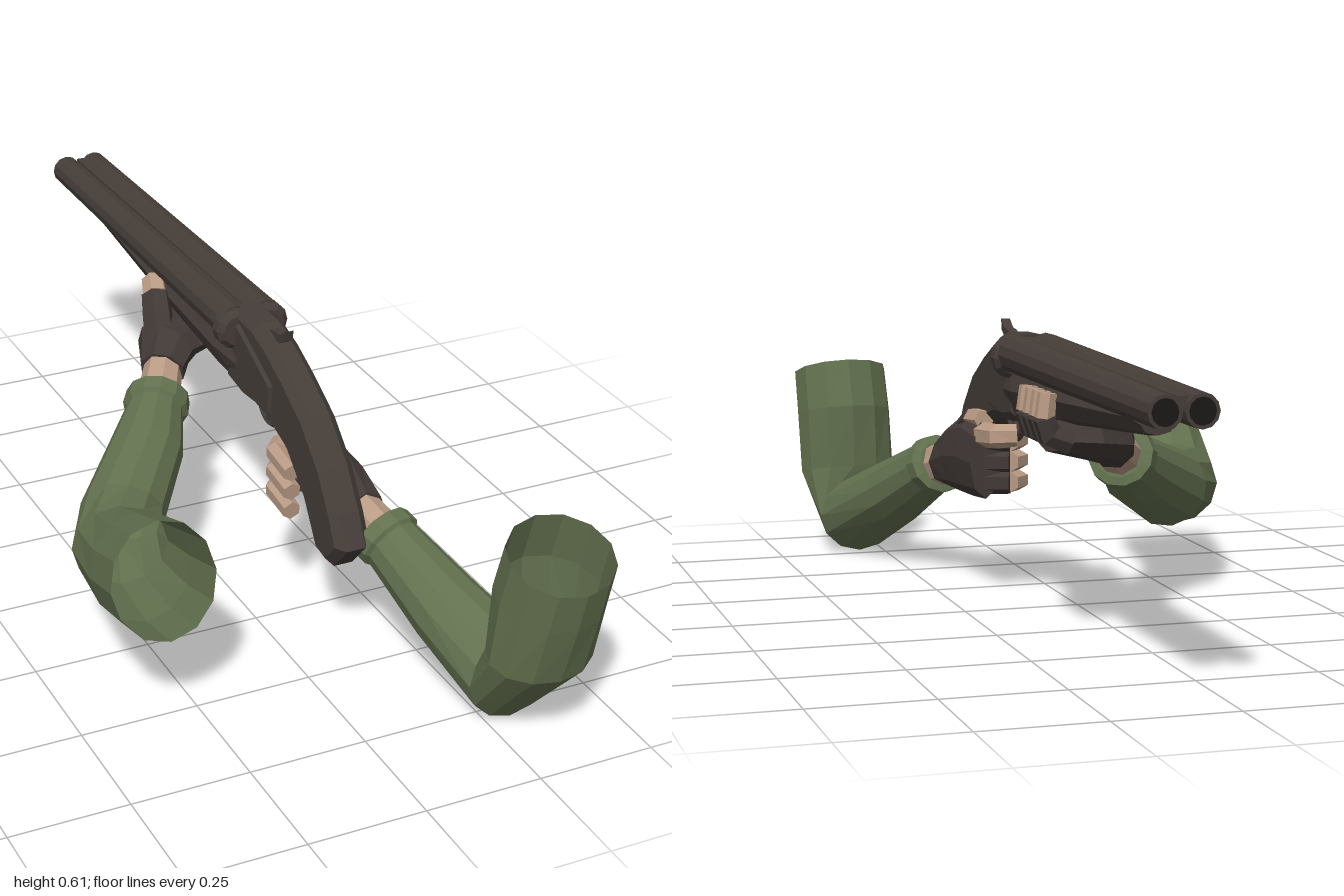
import * as THREE from 'three';

const GX = 0.115; // the gun's centre line
const V = (p) => new THREE.Vector3(...p);

// Faceted skin over rings: [centre, [ru, rv], optional tangent]; u lies near the ref axis
function loft(rings, sides, { ref = [1, 0, 0], start = true, end = true } = {}) {
  const n = rings.length;
  const loops = rings.map(([c, r, t], i) => {
    const dir = t ? V(t) : V(rings[Math.min(i + 1, n - 1)][0]).sub(V(rings[Math.max(i - 1, 0)][0]));
    dir.normalize();
    const u = V(ref).addScaledVector(dir, -V(ref).dot(dir)).normalize();
    const v = dir.clone().cross(u);
    return Array.from({ length: sides }, (_, j) => {
      const a = (j / sides) * Math.PI * 2;
      return V(c).addScaledVector(u, r[0] * Math.cos(a)).addScaledVector(v, r[1] * Math.sin(a));
    });
  });
  const pts = [];
  for (let j = 0; j < sides; j++) {
    const k = (j + 1) % sides;
    for (let i = 0; i < n - 1; i++) {
      const [a, b] = [loops[i], loops[i + 1]];
      pts.push(a[j], a[k], b[k], a[j], b[k], b[j]);
    }
    if (start) pts.push(V(rings[0][0]), loops[0][k], loops[0][j]);
    if (end) pts.push(V(rings[n - 1][0]), loops[n - 1][j], loops[n - 1][k]);
  }
  const g = new THREE.BufferGeometry().setFromPoints(pts);
  g.computeVertexNormals();
  return g;
}

function flat(g) {
  const f = g.index ? g.toNonIndexed() : g;
  f.computeVertexNormals();
  return f;
}

export function createModel() {
  const mat = (name, color, side = THREE.FrontSide) => {
    const m = new THREE.MeshStandardMaterial({ color, side });
    m.name = name;
    return m;
  };
  const gunMat = mat('gun brown', 0x453d38);
  const boreMat = mat('bore black', 0x1c1917);
  const gloveMat = mat('glove brown', 0x413936);
  const skinMat = mat('skin', 0xb99b85);
  const sleeveMat = mat('sleeve green', 0x63714f, THREE.DoubleSide);

  const model = new THREE.Group();
  const group = (name) => {
    const g = new THREE.Group();
    g.name = name;
    model.add(g);
    return g;
  };
  const add = (parent, name, geo, m) => {
    const mesh = new THREE.Mesh(geo, m);
    mesh.name = name;
    parent.add(mesh);
    return mesh;
  };

  // ---- Gun ----
  const gun = group('gun');

  // Side outline (z, y) extruded across x with chamfered edges
  const sidePlate = (name, outline, width, bevel) => {
    const shape = new THREE.Shape(outline.map(([z, y]) => new THREE.Vector2(z, y)));
    const depth = width - 2 * bevel;
    const g = new THREE.ExtrudeGeometry(shape, {
      depth, bevelEnabled: bevel > 0, bevelThickness: bevel, bevelSize: bevel, bevelOffset: -bevel, bevelSegments: 1,
    });
    g.translate(0, 0, -depth / 2).rotateY(-Math.PI / 2).translate(GX, 0, 0);
    return add(gun, name, flat(g), gunMat);
  };
  sidePlate('stock', [
    [-0.04, 0.42], [-0.04, 0.595], [0.06, 0.592], [0.12, 0.575], [0.2, 0.54], [0.3, 0.487], [0.385, 0.41],
    [0.44, 0.33], [0.475, 0.262], [0.42, 0.2], [0.36, 0.21], [0.3, 0.3], [0.22, 0.37], [0.12, 0.4], [0.02, 0.405],
  ], 0.078, 0.018);
  sidePlate('receiver', [
    [-0.06, 0.42], [-0.06, 0.57], [0.0, 0.575], [0.06, 0.55], [0.17, 0.5], [0.16, 0.42], [0.03, 0.408],
  ], 0.092, 0.015);
  sidePlate('topLever', [
    [0.07, 0.58], [0.1, 0.592], [0.13, 0.595], [0.155, 0.612], [0.15, 0.588], [0.12, 0.57], [0.08, 0.565],
  ], 0.02, 0);

  // Twin barrels with hollow muzzles and rounded breech collars
  for (const s of [-1, 1]) {
    const barrel = new THREE.LatheGeometry(
      [[0, 0], [0.041, 0], [0.033, 0.97], [0.026, 0.97]].map((p) => new THREE.Vector2(...p)), 12);
    add(gun, 'barrel', flat(barrel.rotateX(-Math.PI / 2 - 0.009).translate(GX + s * 0.035, 0.556, -0.03)), gunMat);
    const bore = new THREE.CircleGeometry(0.027, 12).rotateY(Math.PI);
    add(gun, 'bore', bore.translate(GX + s * 0.035, 0.547, -0.998), boreMat);
    const collar = new THREE.LatheGeometry(
      [[0, 0], [0.034, 0], [0.046, 0.012], [0.046, 0.035], [0.036, 0.05]].map((p) => new THREE.Vector2(...p)), 12);
    add(gun, 'breechCollar', flat(collar.rotateX(-Math.PI / 2).translate(GX + s * 0.037, 0.548, -0.01)), gunMat);
  }
  add(gun, 'barrelRib', flat(new THREE.BoxGeometry(0.022, 0.02, 0.95).rotateX(-0.016).translate(GX, 0.572, -0.515)), gunMat);

  // Tapering fore-end under the barrels: [z, bottom, top, half width]
  add(gun, 'foreEnd', loft([
    [0, 0.405, 0.55, 0.05], [-0.1, 0.418, 0.55, 0.062], [-0.43, 0.45, 0.55, 0.058],
    [-0.8, 0.48, 0.55, 0.04], [-0.86, 0.487, 0.53, 0.034],
  ].map(([z, lo, hi, w]) => [[GX, (lo + hi) / 2, z], [w, (hi - lo) / 2], [0, 0, -1]]), 8), gunMat);

  // Trigger and guard
  const guard = new THREE.TorusGeometry(0.048, 0.007, 5, 10, Math.PI).rotateZ(Math.PI).rotateY(Math.PI / 2);
  add(gun, 'triggerGuard', flat(guard.translate(GX, 0.408, 0.07)), gunMat);
  add(gun, 'trigger', flat(new THREE.BoxGeometry(0.012, 0.045, 0.012).rotateX(0.3).translate(GX, 0.39, 0.075)), gunMat);

  // ---- Arms ----
  // Finger of one glove piece and one bare tip along a bent path, split at a point index
  const finger = (parent, name, path, r, split, ref) => {
    const rings = path.map((p, i) => [p, [r * (1 - 0.06 * i), r * (1 - 0.06 * i)]]);
    if (split > 0) add(parent, name + 'Glove', loft(rings.slice(0, split + 1).map(([p, q]) => [p, [q[0] * 1.12, q[1] * 1.12]]), 6, { ref }), gloveMat);
    add(parent, name + 'Tip', loft(rings.slice(split), 6, { ref }), skinMat);
  };

  // Trigger arm
  const armA = group('triggerArm');
  add(armA, 'sleeve', loft([
    [[0.197, 0.262, 0.42], [0.05, 0.05], [0.25, -0.4, 0.9]],
    [[0.197, 0.26, 0.425], [0.07, 0.068], [0.25, -0.4, 0.9]],
    [[0.205, 0.25, 0.455], [0.07, 0.068], [0.25, -0.4, 0.9]],
    [[0.207, 0.246, 0.46], [0.062, 0.063], [0.25, -0.4, 0.9]],
    [[0.25, 0.17, 0.62], [0.08, 0.077], [0.2, -0.35, 0.9]],
    [[0.305, 0.092, 0.785], [0.095, 0.09], [0, 0.05, 1]],
    [[0.318, 0.19, 0.858], [0.112, 0.085], [0, 1, 0.25]],
    [[0.322, 0.33, 0.875], [0.112, 0.108], [0, 1, 0.25]],
    [[0.325, 0.428, 0.9], [0.11, 0.106], [0, 1, 0.36]],
  ], 12, { end: false }), sleeveMat);
  add(armA, 'wrist', loft([
    [[0.2, 0.255, 0.44], [0.045, 0.05]], [[0.187, 0.275, 0.36], [0.04, 0.05]],
  ], 8), skinMat);
  add(armA, 'glove', loft([
    [[0.189, 0.272, 0.375], [0.046, 0.056], [0, 0, -1]], [[0.182, 0.295, 0.31], [0.042, 0.08], [0, 0, -1]],
    [[0.172, 0.305, 0.22], [0.042, 0.09], [0, 0, -1]], [[0.165, 0.3, 0.14], [0.036, 0.08], [0, 0, -1]],
  ], 8), gloveMat);
  [0.255, 0.3, 0.345].forEach((y, i) => finger(armA, 'finger' + i, [
    [0.165, y, 0.165], [0.11, y, 0.14], [0.082, y, 0.165], [0.08, y - 0.01, 0.25],
  ], 0.025, 1, [0, 1, 0]));
  finger(armA, 'indexFinger', [[0.165, 0.36, 0.15], [0.16, 0.368, 0.06], [0.12, 0.37, 0.05]], 0.028, 0, [0, 1, 0]);
  finger(armA, 'thumb', [[0.17, 0.35, 0.3], [0.165, 0.385, 0.24], [0.16, 0.39, 0.17]], 0.026, 1, [1, 0, 0]);

  // Supporting arm
  const armB = group('supportArm');
  const fore = [0.5, 0.33, -0.8];
  add(armB, 'sleeve', loft([
    [[-0.325, 0.32, 0.513], [0.112, 0.123], [0, -0.28, -0.96]],
    [[-0.31, 0.265, 0.36], [0.108, 0.115], [0.05, -0.25, -0.96]],
    [[-0.288, 0.225, 0.2], [0.1, 0.092], [0.25, 0, -0.96]],
    [[-0.235, 0.235, 0.09], [0.09, 0.088], fore],
    [[-0.125, 0.295, -0.04], [0.08, 0.076], fore],
    [[-0.068, 0.335, -0.125], [0.062, 0.06], fore],
    [[-0.064, 0.337, -0.13], [0.072, 0.069], fore],
    [[-0.046, 0.349, -0.157], [0.07, 0.067], fore],
    [[-0.042, 0.351, -0.16], [0.05, 0.05], fore],
  ], 12, { start: false }), sleeveMat);
  add(armB, 'wrist', loft([
    [[-0.055, 0.343, -0.14], [0.048, 0.046]], [[0.005, 0.385, -0.24], [0.042, 0.044]],
  ], 8), skinMat);
  add(armB, 'glove', loft([
    [[-0.008, 0.378, -0.22], [0.052, 0.048], [0.6, 0.3, -0.7]], [[0.025, 0.405, -0.28], [0.075, 0.055], [0.8, 0.2, -0.5]],
    [[0.08, 0.412, -0.32], [0.09, 0.045], [1, 0.1, -0.1]], [[0.16, 0.42, -0.335], [0.09, 0.032], [1, 0.3, 0]],
  ], 8, { ref: [0, 0, 1] }), gloveMat);
  [-0.27, -0.315, -0.36, -0.4].forEach((z, i) => finger(armB, 'finger' + i, [
    [0.14, 0.415, z], [0.182, 0.43, z], [0.192, 0.465, z], [0.186, 0.515, z],
  ], 0.024, 2, [0, 0, 1]));
  finger(armB, 'thumb', [
    [0.015, 0.41, -0.28], [0.025, 0.46, -0.32], [0.038, 0.49, -0.36], [0.05, 0.51, -0.4],
  ], 0.033, 2, [1, 0, 0]);

  return model;
}
